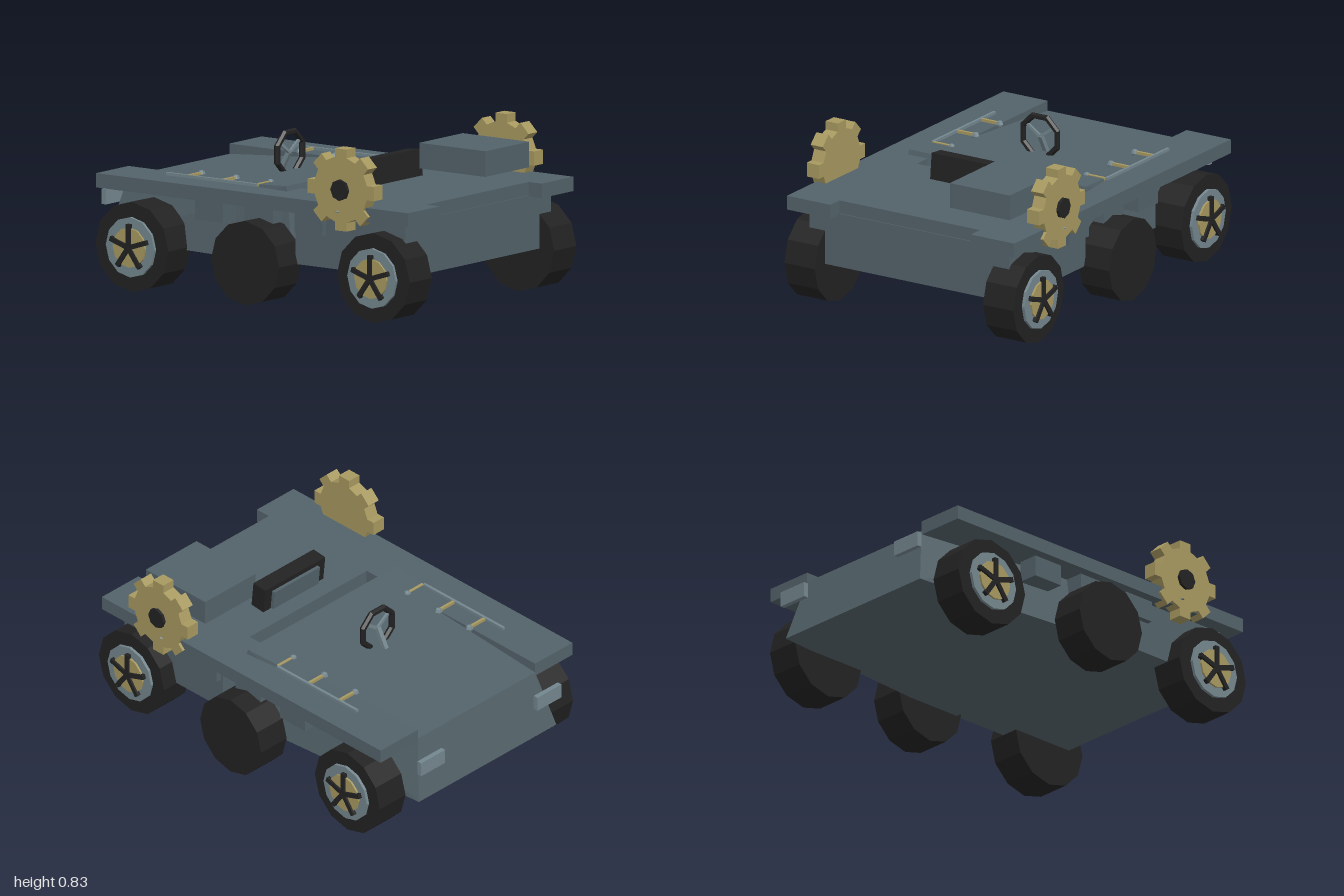
import * as THREE from 'three';
import { ConvexGeometry } from 'three/addons/geometries/ConvexGeometry.js';

const mat = (name, color) => {
  const m = new THREE.MeshStandardMaterial({ color, flatShading: true });
  m.name = name;
  return m;
};

export function createModel() {
  const root = new THREE.Group();
  root.name = 'sixWheeledVehicle';
  const body = mat('slate body', 0x53636a);
  const rim = mat('light steel', 0x74878e);
  const gold = mat('brass', 0xa89960);
  const black = mat('black rubber', 0x222222);

  const add = (name, geo, m, x = 0, y = 0, z = 0, parent = root) => {
    const mesh = new THREE.Mesh(geo, m);
    mesh.name = name;
    mesh.position.set(x, y, z);
    parent.add(mesh);
    return mesh;
  };
  // box given by its extents
  const box = (name, m, [x0, x1], [y0, y1], [z0, z1]) =>
    add(name, new THREE.BoxGeometry(Math.abs(x1 - x0), y1 - y0, z1 - z0), m,
      (x0 + x1) / 2, (y0 + y1) / 2, (z0 + z1) / 2);
  // cylinder lying along x
  const disc = (r, w, n) => new THREE.CylinderGeometry(r, r, w, n).rotateZ(Math.PI / 2);

  // front hull
  box('frontHull', body, [-0.575, 0.575], [0.225, 0.495], [0.245, 0.91]);

  // tapered rear hull with a gently sloping top
  const rear = [];
  for (const s of [1, -1]) {
    rear.push(
      new THREE.Vector3(s * 0.51, 0.585, 0.14), new THREE.Vector3(s * 0.57, 0.21, 0.225),
      new THREE.Vector3(s * 0.4, 0.51, -0.9), new THREE.Vector3(s * 0.47, 0.21, -0.975));
  }
  add('rearHull', new ConvexGeometry(rear), body);

  // deck plate, notched at the front and open at the rear
  const outline = [[-0.655, -0.9], [-0.4, -0.9], [-0.4, 0.238], [0.4, 0.238], [0.4, -0.9], [0.655, -0.9],
    [0.655, 0.985], [0.405, 0.985], [0.405, 0.905], [-0.405, 0.905], [-0.405, 0.985], [-0.655, 0.985]];
  const deck = new THREE.ExtrudeGeometry(
    new THREE.Shape(outline.map(([x, z]) => new THREE.Vector2(x, z))),
    { depth: 0.07, bevelEnabled: false }).rotateX(Math.PI / 2);
  add('deck', deck, body, 0, 0.56, 0);

  // cargo box, dashboard and seat block
  box('cargoBox', body, [0.175, 0.52], [0.607, 0.732], [0.42, 0.82]);
  const dash = new THREE.Group();
  dash.name = 'dashboard';
  dash.position.set(0, 0.63, 0.372);
  dash.rotation.x = -0.1;
  root.add(dash);
  add('dashboardCase', new THREE.BoxGeometry(0.41, 0.13, 0.08), black, 0, 0, 0, dash);
  add('dashboardPanel', new THREE.BoxGeometry(0.31, 0.1, 0.02), body, 0, -0.01, -0.047, dash);
  box('seatBlock', black, [-0.205, 0.205], [0.4, 0.49], [0.165, 0.24]);

  // steering wheel, open at the bottom
  const ring = new THREE.TorusGeometry(0.106, 0.016, 6, 7, Math.PI * 1.75);
  ring.rotateZ(-Math.PI * 0.375);
  add('steeringRing', ring, black, 0, 0.643, -0.23);
  const column = add('steeringColumn', new THREE.BoxGeometry(0.022, 0.12, 0.022), rim, 0, 0.595, -0.26);
  column.rotation.x = 0.5;
  for (const s of [1, -1]) {
    const spoke = add('steeringSpoke', new THREE.BoxGeometry(0.015, 0.1, 0.012), rim, s * 0.04, 0.67, -0.23);
    spoke.rotation.z = s * -0.95;
  }

  // toothed wheel profile
  const gearPts = [];
  for (let i = 0; i < 8; i++) {
    const a = i * Math.PI / 4;
    for (const [r, w] of [[0.158, -0.035], [0.2, -0.035], [0.2, 0.035], [0.158, 0.035]]) {
      gearPts.push(new THREE.Vector2(r * Math.cos(a) - w * Math.sin(a), r * Math.sin(a) + w * Math.cos(a)));
    }
  }
  const gearGeo = new THREE.ExtrudeGeometry(new THREE.Shape(gearPts), { depth: 0.07, bevelEnabled: false })
    .translate(0, 0, -0.035).rotateY(Math.PI / 2);

  for (const s of [1, -1]) {
    // front and rear wheels with spoked hubs
    for (const z of [0.78, -0.68]) {
      const wheel = new THREE.Group();
      wheel.name = z > 0 ? 'frontWheel' : 'rearWheel';
      wheel.position.set(0, 0.223, z);
      root.add(wheel);
      add('tyre', disc(0.22, 0.175, 12), black, s * 0.5725, 0, 0, wheel);
      add('rim', disc(0.147, 0.02, 12), rim, s * 0.665, 0, 0, wheel);
      add('hubDisc', disc(0.098, 0.02, 12), gold, s * 0.675, 0, 0, wheel);
      for (let i = 0; i < 5; i++) {
        const spoke = new THREE.BoxGeometry(0.02, 0.115, 0.024)
          .translate(0, 0.0575, 0).rotateX(i * Math.PI * 0.4);
        add('spoke', spoke, black, s * 0.685, 0, 0, wheel);
      }
    }
    // plain middle wheel
    add('middleWheel', disc(0.206, 0.175, 12), black, s * 0.6325, 0.228, 0.05);

    // gear with hub and small lamp
    add('gear', gearGeo, gold, s * 0.635, 0.635, 0.59);
    add('gearHub', disc(0.052, 0.03, 8), black, s * 0.67, 0.635, 0.59);
    const lamp = add('gearLamp', new THREE.OctahedronGeometry(0.04), rim, s * 0.652, 0.527, 0.57);
    lamp.scale.set(0.7, 0.4, 1);

    // deck rail with three brass rungs
    box('rail', rim, [s * 0.493, s * 0.507], [0.562, 0.576], [-0.59, -0.05]);
    for (const z of [-0.465, -0.257, -0.047]) {
      box('rung', gold, [s * 0.4, s * 0.495], [0.562, 0.576], [z - 0.007, z + 0.007]);
      add('rungKnob', new THREE.SphereGeometry(0.02, 6, 4), rim, s * 0.39, 0.565, z);
    }

    // boxes under the deck and rear bumper plates
    for (const [z0, z1] of [[0.26, 0.43], [-0.34, -0.17], [-0.04, 0.13]]) {
      box('sideBox', body, [s * 0.5, s * 0.605], [0.385, 0.495], [z0, z1]);
    }
    box('rearBumper', rim, [s * 0.315, s * 0.48], [0.375, 0.45], [-1, -0.975]);
  }
  return root;
}
